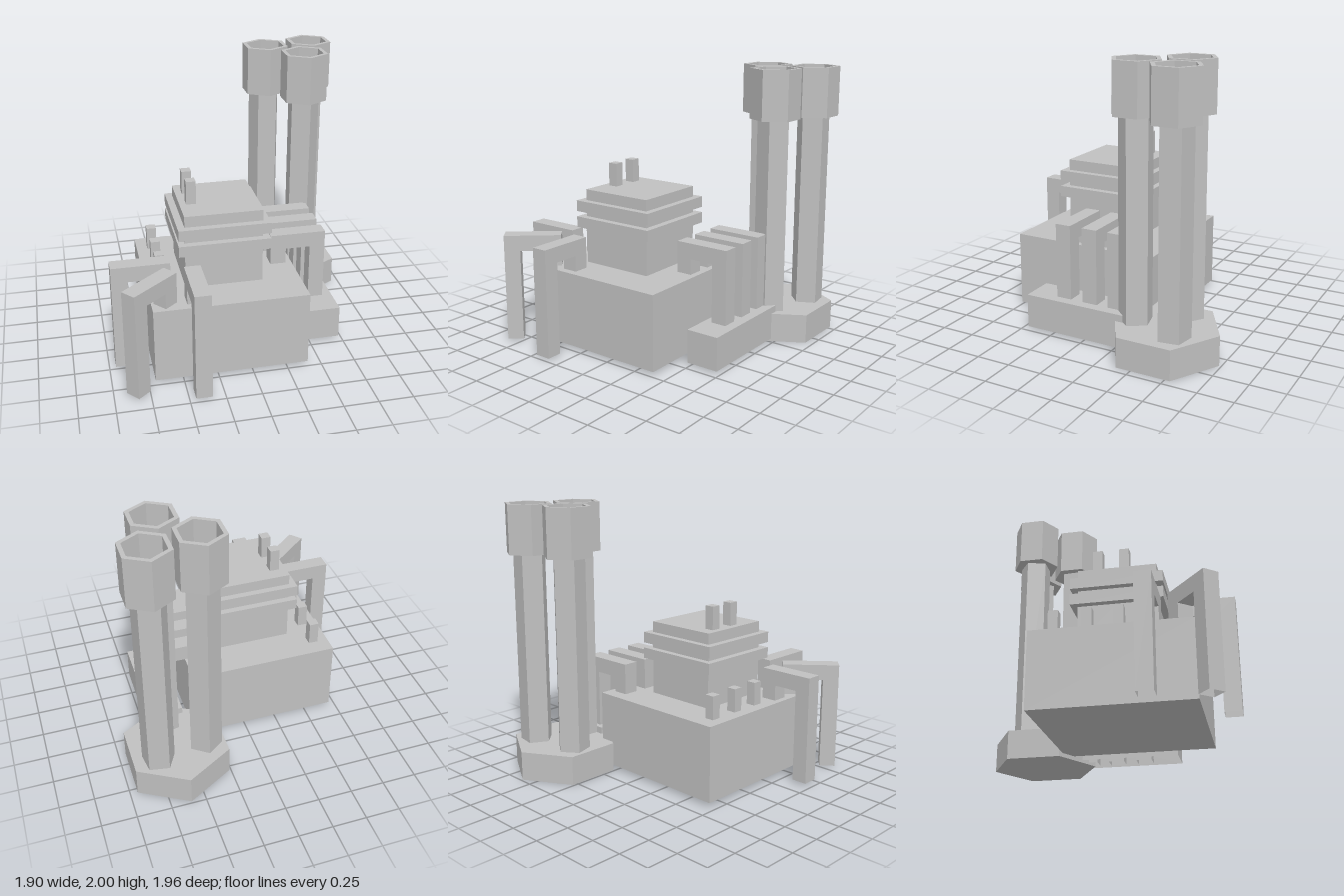
import * as THREE from 'three';

const grey = new THREE.MeshStandardMaterial({ color: 0xc0c0c0, side: THREE.DoubleSide });

// Faceted normals for every part
function faceted(geometry) {
  const g = geometry.index ? geometry.toNonIndexed() : geometry;
  g.computeVertexNormals();
  return g;
}

function add(parent, name, geometry, x = 0, y = 0, z = 0, turn = 0) {
  const mesh = new THREE.Mesh(faceted(geometry), grey);
  mesh.name = name;
  mesh.position.set(x, y, z);
  mesh.rotation.y = turn;
  parent.add(mesh);
  return mesh;
}

// Box given by its limits on each axis
function block(parent, name, [x0, x1], [y0, y1], [z0, z1], openBottom = false) {
  const g = new THREE.BoxGeometry(x1 - x0, y1 - y0, z1 - z0);
  if (openBottom) {
    const index = Array.from(g.index.array);
    index.splice(18, 6);
    g.setIndex(index);
  }
  return add(parent, name, g, (x0 + x1) / 2, (y0 + y1) / 2, (z0 + z1) / 2);
}

// Square duct: rises from the roof, runs outward, drops to the ground, open ends
function ductGeometry() {
  const t = 0.115, L = 0.413, top = 0.81, h = t / 2;
  const outer = [[0, 0.56], [0, top], [L, top], [L, 0.015]];
  const inner = [[t, 0.56], [t, top - t], [L - t, top - t], [L - t, 0.015]];
  const rings = outer.map((o, i) => [[...o, h], [...inner[i], h], [...inner[i], -h], [...o, -h]]);
  const pos = [];
  for (let i = 0; i < 3; i++) {
    for (let j = 0; j < 4; j++) {
      const k = (j + 1) % 4;
      const a = rings[i][j], b = rings[i][k], c = rings[i + 1][k], d = rings[i + 1][j];
      pos.push(...a, ...b, ...c, ...a, ...c, ...d);
    }
  }
  const g = new THREE.BufferGeometry();
  g.setAttribute('position', new THREE.Float32BufferAttribute(pos, 3));
  return g;
}

export function createModel() {
  const model = new THREE.Group();
  model.name = 'factory';

  // Main hall
  block(model, 'mainHall', [-0.7, 0.4], [0.03, 0.58], [-0.375, 0.735]);

  // Roof tower with two projecting bands
  const tower = new THREE.Group();
  tower.name = 'roofTower';
  model.add(tower);
  block(tower, 'towerCore', [-0.43, 0.125], [0.58, 1.13], [-0.1, 0.455]);
  for (const y of [0.85, 0.97]) {
    block(tower, 'towerBand', [-0.48, 0.175], [y, y + 0.08], [-0.147, 0.505]);
  }

  // Small vents on the tower and along the hall edge
  for (const z of [0.22, 0.03]) {
    block(tower, 'towerVent', [-0.382, -0.312], [1.13, 1.3], [z - 0.035, z + 0.035]);
  }
  for (const z of [0.22, 0.005, -0.225]) {
    block(model, 'hallVent', [-0.62, -0.55], [0.58, 0.75], [z - 0.035, z + 0.035]);
  }

  // Ducts: start x, start z, direction x, direction z
  const ducts = [
    [0.24, -0.223, 1, 0], [0.24, -0.022, 1, 0], [0.24, 0.187, 1, 0],
    [-0.541, 0.437, -1, 0], [-0.5575, 0.5925, -0.315, 0.265], [-0.4, 0.566, 0, 1],
  ];
  for (const [x, z, dx, dz] of ducts) {
    add(model, 'duct', ductGeometry(), x, 0, z, Math.atan2(-dz, dx));
  }

  // Trough receiving the side ducts
  block(model, 'ductTrough', [0.48, 0.725], [0.02, 0.265], [-0.32, 0.452], true);

  // Hexagonal plinth for the chimneys
  add(model, 'chimneyPlinth', new THREE.CylinderGeometry(0.395, 0.395, 0.215, 6), 0.604, 0.1075, -0.59);

  // Chimneys: five-sided shafts with hollow hexagonal heads
  const headProfile = [[0, 1.64], [0.18, 1.64], [0.18, 2], [0.147, 2], [0.147, 1.7], [0, 1.7]]
    .map(([r, y]) => new THREE.Vector2(r, y));
  for (const [x, z, degrees] of [[0.405, -0.66, 180], [0.765, -0.72, -10.3], [0.638, -0.38, 13.3]]) {
    const chimney = new THREE.Group();
    chimney.name = 'chimney';
    chimney.position.set(x, 0, z);
    model.add(chimney);
    const shaft = new THREE.CylinderGeometry(0.122, 0.122, 1.44, 5);
    add(chimney, 'chimneyShaft', shaft, 0, 0.925, 0, THREE.MathUtils.degToRad(degrees));
    add(chimney, 'chimneyHead', new THREE.LatheGeometry(headProfile, 6));
  }

  return model;
}
